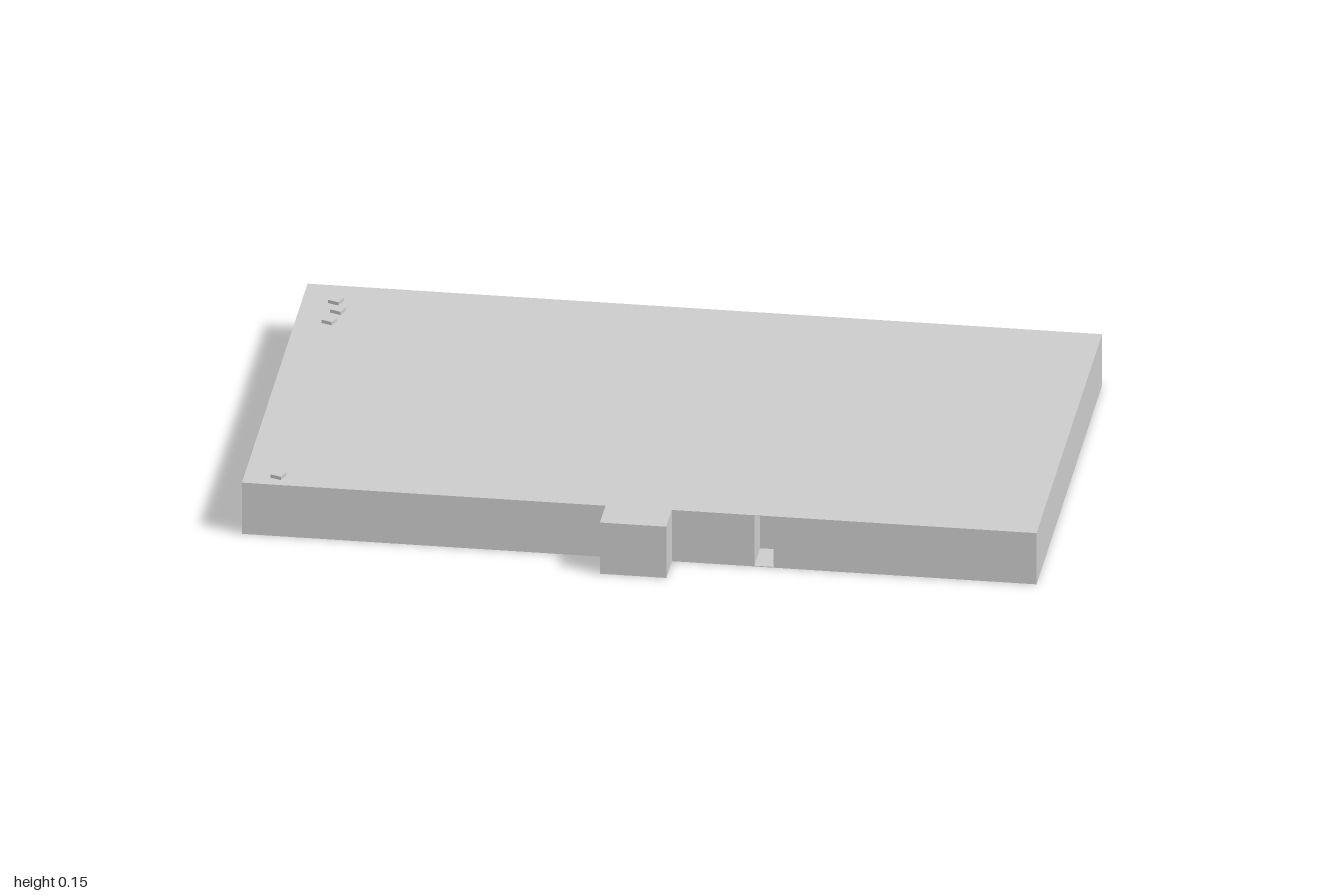
import * as THREE from 'three';

const W = 1, BACK = -0.618, FRONT = 0.522, TAB_Z = 0.618, HEIGHT = 0.142;
const SKIN = 0.002, SLOT_DEPTH = 0.1;
const TAB = [-0.085, 0.082];
const FRONT_SLOTS = [[0.29, 0.338]];
const BACK_SLOTS = [[-0.566, -0.518], [0.29, 0.338]];

// Plan outline, drawn in x and -z so that extruding goes up
function outline(frontSlots, backSlots) {
  const pts = [[-W, FRONT], [TAB[0], FRONT], [TAB[0], TAB_Z], [TAB[1], TAB_Z], [TAB[1], FRONT]];
  for (const [a, b] of frontSlots) {
    const z = FRONT - SLOT_DEPTH;
    pts.push([a, FRONT], [a, z], [b, z], [b, FRONT]);
  }
  pts.push([W, FRONT], [W, BACK]);
  for (const [a, b] of [...backSlots].reverse()) {
    const z = BACK + SLOT_DEPTH;
    pts.push([b, BACK], [b, z], [a, z], [a, BACK]);
  }
  pts.push([-W, BACK]);
  return new THREE.Shape(pts.map(([x, z]) => new THREE.Vector2(x, -z)));
}

export function createModel() {
  const group = new THREE.Group();
  const material = new THREE.MeshStandardMaterial({ color: 0xcccccc, flatShading: true });

  function add(name, geometry) {
    const mesh = new THREE.Mesh(geometry, material);
    mesh.name = name;
    group.add(mesh);
    return mesh;
  }
  function slab(name, shape, y, depth) {
    const geometry = new THREE.ExtrudeGeometry(shape, { depth, bevelEnabled: false });
    add(name, geometry.rotateX(-Math.PI / 2).translate(0, y, 0));
  }

  // Slotted body closed by thin top and bottom sheets
  const sheet = outline([], []);
  slab('bottomSheet', sheet, 0, SKIN);
  slab('slottedBody', outline(FRONT_SLOTS, BACK_SLOTS), SKIN, HEIGHT - 2 * SKIN);
  slab('topSheet', sheet, HEIGHT - SKIN, SKIN);

  // Small turned square studs near the right edge
  for (const [x, z] of [[-0.915, -0.525], [-0.902, -0.472], [-0.915, -0.411], [-0.915, 0.475]]) {
    const stud = add('stud', new THREE.BoxGeometry(0.029, 0.01, 0.029));
    stud.position.set(x, HEIGHT + 0.004, z);
    stud.rotation.y = -0.35;
  }
  return group;
}
